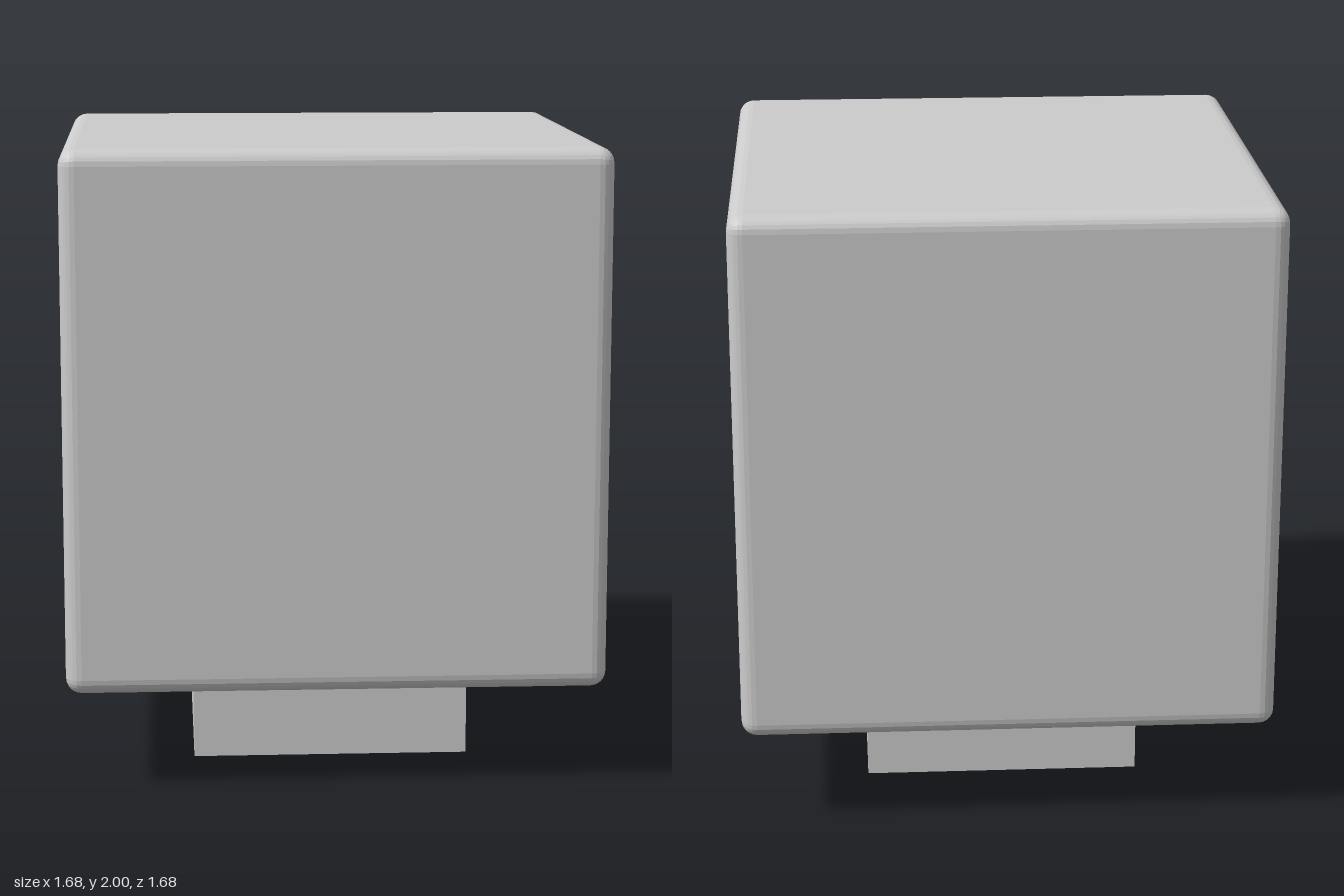
import * as THREE from 'three';
import { RoundedBoxGeometry } from 'three/addons/geometries/RoundedBoxGeometry.js';

export function createModel() {
  const model = new THREE.Group();
  const material = new THREE.MeshStandardMaterial({ color: 0xcccccc, flatShading: true });

  const add = (name, geometry, y) => {
    const mesh = new THREE.Mesh(geometry, material);
    mesh.name = name;
    mesh.position.y = y;
    model.add(mesh);
  };

  // Large cube with narrow faceted bevels
  const size = 1.684;
  add('cubeBody', new RoundedBoxGeometry(size, size, size, 3, 0.05), 2 - size / 2);

  // Square foot, sunk slightly into the cube
  const footHeight = 0.33;
  add('squareFoot', new THREE.BoxGeometry(0.885, footHeight, 0.885), footHeight / 2);

  return model;
}
